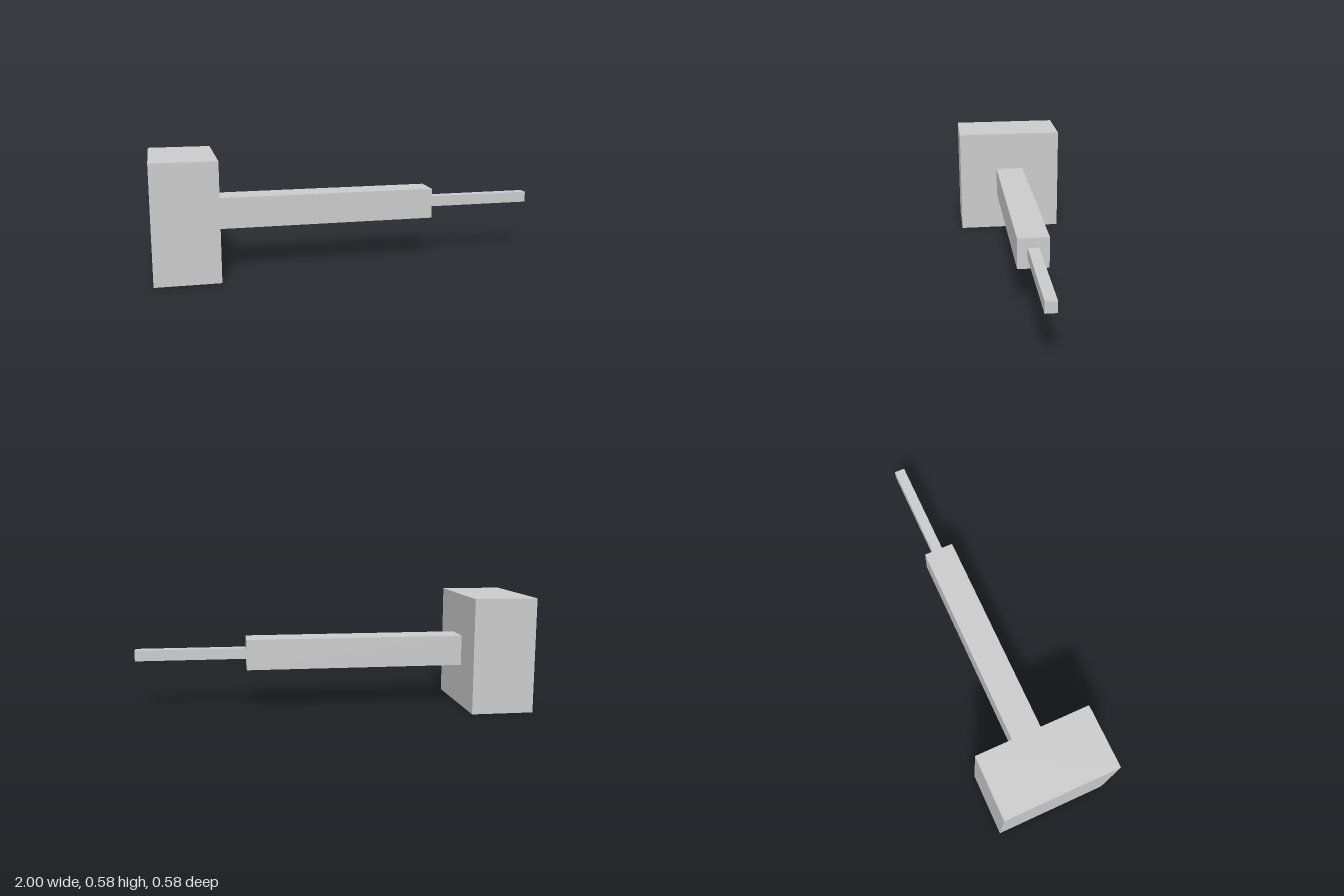
import * as THREE from 'three';

export function createModel() {
  const model = new THREE.Group();
  const material = new THREE.MeshStandardMaterial({ color: 0xcccccc, flatShading: true });
  const axisY = 0.292; // height of the shared centre line

  // A square bar along x, from x0 to x1
  const addBar = (name, x0, x1, width) => {
    const mesh = new THREE.Mesh(new THREE.BoxGeometry(x1 - x0, width, width), material);
    mesh.name = name;
    mesh.position.set((x0 + x1) / 2, axisY, 0);
    model.add(mesh);
  };

  addBar('headBlock', -1, -0.682, 0.584);
  addBar('shaft', -0.682, 0.44, 0.156);
  addBar('tip', 0.44, 1, 0.055);

  return model;
}
